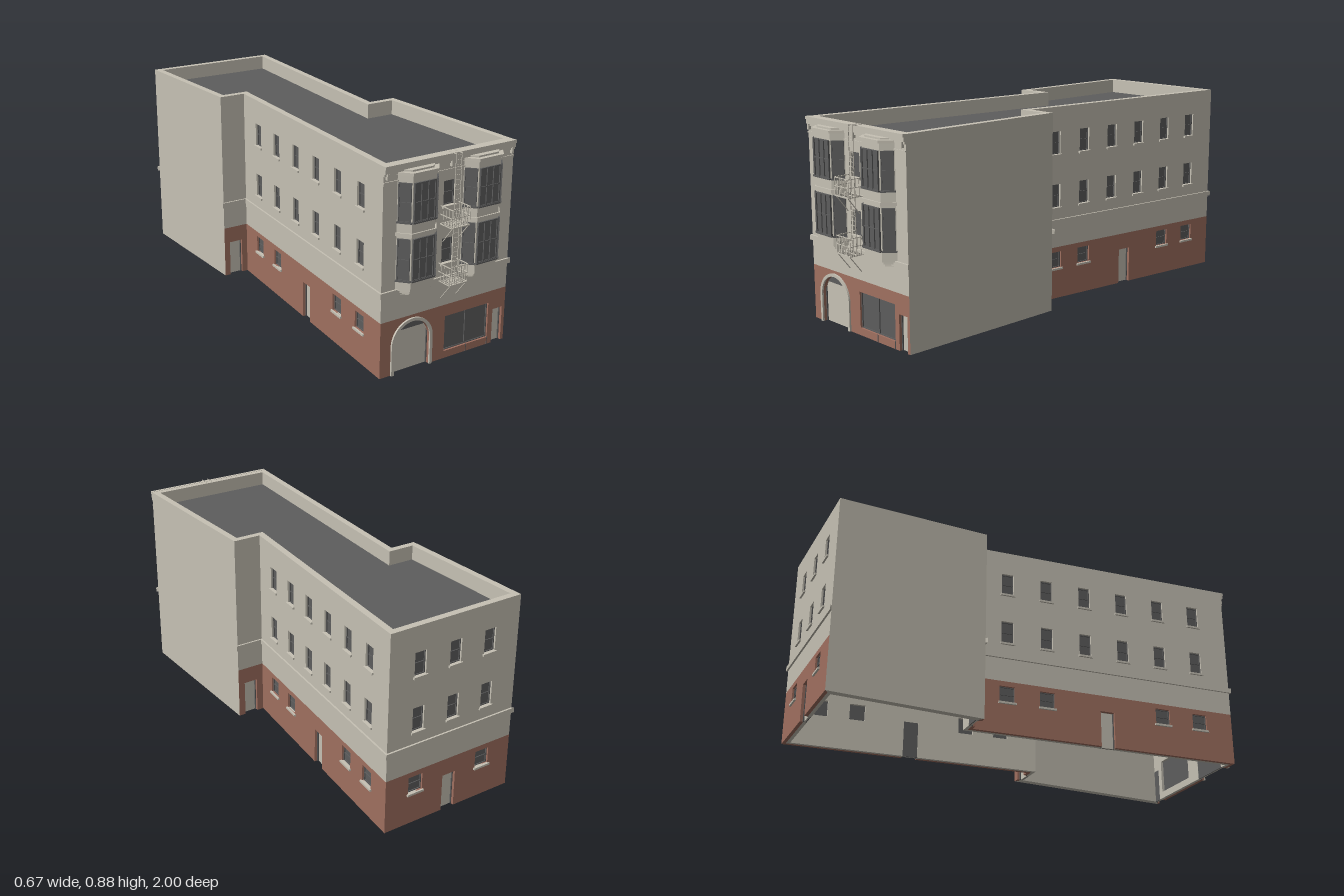
import * as THREE from 'three';

const paint = (name, hex) => {
  const m = new THREE.MeshStandardMaterial({ color: hex });
  m.name = name;
  return m;
};

export function createModel() {
  const stucco = paint('stucco', 0xc6c1b4);
  const brick = paint('brick', 0xa07060);
  const dark = paint('darkGrey', 0x5d5d5d);
  const model = new THREE.Group();
  model.name = 'building';

  const H = 0.88, BRICK = 0.24, T = 0.03, ROOF = 0.815;

  const add = (parent, name, geo, mat) => {
    const m = new THREE.Mesh(geo, mat);
    m.name = name;
    parent.add(m);
    return m;
  };
  // Box given by its two opposite corners
  const box = (parent, name, mat, x0, x1, y0, y1, z0, z1) => {
    const g = new THREE.BoxGeometry(x1 - x0, y1 - y0, z1 - z0);
    g.translate((x0 + x1) / 2, (y0 + y1) / 2, (z0 + z1) / 2);
    return add(parent, name, g, mat);
  };
  // Square bar between two points
  const rod = (parent, name, mat, a, b, t = 0.003) => {
    const p = new THREE.Vector3(...a), d = new THREE.Vector3(...b).sub(p);
    const m = add(parent, name, new THREE.BoxGeometry(t, d.length(), t), mat);
    m.position.copy(p).addScaledVector(d, 0.5);
    m.quaternion.setFromUnitVectors(new THREE.Vector3(0, 1, 0), d.normalize());
  };
  // Group whose x runs from a to b in plan and whose +z points outwards
  const face = (parent, name, a, b) => {
    const g = new THREE.Group();
    g.name = name;
    g.position.set(a[0], 0, a[1]);
    g.rotation.y = Math.atan2(a[1] - b[1], b[0] - a[0]);
    parent.add(g);
    return g;
  };
  // Dark glass with border, mullions and rails
  const glazing = (g, x0, x1, y0, y1, z, cols, rows, t = 0.004) => {
    box(g, 'glass', dark, x0, x1, y0, y1, z - 0.004, z);
    for (let i = 0; i <= cols; i++) {
      const x = x0 + t / 2 + (x1 - x0 - t) * i / cols;
      box(g, 'mullion', dark, x - t / 2, x + t / 2, y0, y1, z, z + 0.005);
    }
    for (let i = 0; i <= rows; i++) {
      const y = y0 + t / 2 + (y1 - y0 - t) * i / rows;
      box(g, 'rail', dark, x0, x1, y - t / 2, y + t / 2, z, z + 0.004);
    }
  };

  // Footprint, walked so that the outside is on the right
  const plan = [[-0.325, 0.925], [0.325, 0.925], [0.325, 0.13], [0.195, 0.13],
    [0.322, -0.99], [-0.322, -0.99], [-0.322, -0.315], [-0.2, -0.315]];
  const n = plan.length;
  const dir = plan.map((a, i) => {
    const b = plan[(i + 1) % n];
    return new THREE.Vector2(b[0] - a[0], a[1] - b[1]);
  });
  const mitre = plan.map((_, i) => {
    const p = dir[(i + n - 1) % n], q = dir[i];
    return Math.tan(Math.atan2(p.cross(q), p.dot(q)) / 2);
  });

  // Wall slab with door notches and window holes; its ends are mitred
  const slab = (g, name, mat, i, y0, y1, z0, z1, openings = []) => {
    const L = dir[i].length(), s = new THREE.Shape();
    s.moveTo(0, y0);
    openings.filter(o => o.door).sort((a, b) => a.x0 - b.x0).forEach(o => {
      s.lineTo(o.x0, y0);
      if (o.arch) {
        const r = (o.x1 - o.x0) / 2;
        s.lineTo(o.x0, o.y1 - r);
        s.absarc(o.x0 + r, o.y1 - r, r, Math.PI, 0, true);
      } else s.lineTo(o.x0, o.y1).lineTo(o.x1, o.y1);
      s.lineTo(o.x1, y0);
    });
    s.lineTo(L, y0).lineTo(L, y1).lineTo(0, y1);
    openings.filter(o => !o.door).forEach(o => s.holes.push(new THREE.Path([
      [o.x0, o.y0], [o.x0, o.y1], [o.x1, o.y1], [o.x1, o.y0]].map(p => new THREE.Vector2(...p)))));
    const geo = new THREE.ExtrudeGeometry(s, { depth: z1 - z0, bevelEnabled: false, curveSegments: 20 });
    geo.translate(0, 0, z0);
    const p = geo.attributes.position;
    for (let k = 0; k < p.count; k++) {
      const x = p.getX(k), z = p.getZ(k);
      if (Math.abs(x) < 1e-5) p.setX(k, -z * mitre[i]);
      else if (Math.abs(x - L) < 1e-5) p.setX(k, L + z * mitre[(i + 1) % n]);
    }
    geo.computeVertexNormals();
    return add(g, name, geo, mat);
  };

  const opening = (c, w, y0, y1, extra) => ({ x0: c - w / 2, x1: c + w / 2, y0, y1, ...extra });
  const upperRows = [[0.425, 0.53], [0.667, 0.769]];
  const names = ['frontWall', 'leftBlankWall', 'leftStepWall', 'leftSlantedWall',
    'backWall', 'rightBlankWall', 'rightStepWall', 'rightSlantedWall'];
  const walls = names.map((name, i) => {
    const g = face(model, name, plan[i], plan[(i + 1) % n]);
    const L = dir[i].length(), blank = i === 1 || i === 5;
    const low = [], high = [];
    if (i === 0) {
      low.push(opening(0.155, 0.18, 0, 0.215, { door: true, arch: true }),
        opening(0.609, 0.052, 0, 0.153, { door: true }), opening(0.4415, 0.233, 0.032, 0.188));
      upperRows.forEach(r => high.push(opening(0.323, 0.058, ...r)));
    } else if (!blank) {
      low.push(opening(L / 2, 0.066, 0, 0.165, { door: true }));
      const cols = i === 4 ? [0.23, 0.5, 0.77] : i === 2 || i === 6 ? []
        : [0, 1, 2, 3, 4, 5].map(k => 0.123 + 0.149 * k);
      cols.forEach((f, k) => {
        upperRows.forEach(r => high.push(opening(f * L, 0.056, ...r)));
        const small = cols.length === 6 ? k < 2 || k > 3 : k !== 1;
        if (small) low.push(opening(f * L, 0.07, 0.143, 0.217));
      });
    }
    slab(g, 'groundFloorFacing', blank ? stucco : brick, i, 0, BRICK, -T / 2, 0, low);
    slab(g, 'groundFloorLining', stucco, i, 0, BRICK, -T, -T / 2, low);
    slab(g, 'upperWall', stucco, i, BRICK, H, -T, 0, high);
    if (!blank) slab(g, 'beltCourse', stucco, i, 0.348, 0.37, 0, 0.008);
    // Windows with sills, and recessed doors
    [...low, ...high].forEach(o => {
      if (o.door) {
        box(g, 'door', stucco, o.x0, o.x1, 0, o.arch ? 0.177 : o.y1, -0.025, -0.018);
        box(g, 'doorBack', dark, o.x0, o.x1, 0, o.y1, -0.029, -0.025);
        [o.x0, o.x1 - 0.004].forEach(x => box(g, 'doorJamb', dark, x, x + 0.004, 0, Math.min(o.y1, 0.165), -0.018, -0.012));
        return;
      }
      const shop = o.x1 - o.x0 > 0.1;
      glazing(g, o.x0, o.x1, o.y0, o.y1, -0.013, shop ? 2 : 1, shop ? 1 : 2);
      if (!shop) box(g, 'sill', stucco, o.x0 - 0.006, o.x1 + 0.006, o.y0 - 0.009, o.y0, -0.01, 0.008);
    });
    return g;
  });

  // Roof, set below the parapet
  const inner = plan.map((a, i) => {
    const u = dir[i].clone().normalize(), m = T * mitre[i];
    return new THREE.Vector2(a[0] + u.x * m - u.y * T, -a[1] + u.y * m + u.x * T);
  });
  const roofGeo = new THREE.ExtrudeGeometry(new THREE.Shape(inner), { depth: 0.01, bevelEnabled: false });
  roofGeo.rotateX(-Math.PI / 2).translate(0, ROOF - 0.01, 0);
  add(model, 'roof', roofGeo, dark);

  // Front trim: arch surround, lunette, shop mullions and cornice
  const front = walls[0];
  const ring = new THREE.Shape().moveTo(0.052, 0).lineTo(0.052, 0.125);
  ring.absarc(0.155, 0.125, 0.103, Math.PI, 0, true);
  ring.lineTo(0.258, 0).lineTo(0.245, 0).lineTo(0.245, 0.125);
  ring.absarc(0.155, 0.125, 0.09, 0, Math.PI, false);
  ring.lineTo(0.065, 0);
  add(front, 'archSurround', new THREE.ExtrudeGeometry(ring, { depth: 0.008, bevelEnabled: false, curveSegments: 20 }), stucco);
  box(front, 'lunette', dark, 0.07, 0.24, 0.177, 0.217, -0.025, -0.016);
  [0.44, 0.555].forEach(x => box(front, 'shopPost', dark, x, x + 0.003, 0, 0.034, 0, 0.002));
  [[0.811, 0.816, 0.004], [0.84, 0.85, 0.006], [0.85, 0.868, 0.011], [0.868, 0.881, 0.015]]
    .forEach(([a, b, d]) => box(front, 'cornice', stucco, 0, 0.65, a, b, 0, d));
  [0.015, 0.325, 0.635].forEach(x => box(front, 'corniceBracket', stucco, x - 0.005, x + 0.005, 0.826, 0.85, 0, 0.013));

  // Two-storey bay windows
  [-0.163, 0.162].forEach(cx => {
    const bay = new THREE.Group();
    bay.name = 'bayWindow';
    bay.position.set(cx, 0, 0.925);
    model.add(bay);
    const W = 0.095, F = 0.056, D = 0.045;
    const layer = (name, y0, y1, e) => {
      const s = new THREE.Shape([[-W - e, 0], [-F - e / 2, -D - e], [F + e / 2, -D - e], [W + e, 0]]
        .map(p => new THREE.Vector2(...p)));
      const g = new THREE.ExtrudeGeometry(s, { depth: y1 - y0, bevelEnabled: false });
      add(bay, name, g.rotateX(-Math.PI / 2).translate(0, y0, 0), stucco);
    };
    layer('bayBody', 0.365, 0.84, 0);
    layer('bayFoot', 0.354, 0.365, -0.008);
    layer('bayFootStep', 0.343, 0.354, -0.022);
    layer('bayBand', 0.592, 0.606, 0.006);
    layer('bayCap', 0.838, 0.849, 0.009);
    layer('bayCapTop', 0.849, 0.856, -0.01);
    const pts = [[-W, 0], [-F, D], [F, D], [W, 0]];
    for (let k = 0; k < 3; k++) {
      const g = face(bay, 'bayFacet', pts[k], pts[k + 1]);
      const L = Math.hypot(pts[k + 1][0] - pts[k][0], pts[k + 1][1] - pts[k][1]);
      [[0.41, 0.583], [0.65, 0.808]].forEach(([a, b]) => {
        glazing(g, 0.004, L - 0.004, a, b, 0.003, k === 1 ? 3 : 1, 2, 0.005);
        box(g, 'baySill', dark, 0, L, a - 0.004, a + 0.002, 0, 0.01);
      });
    }
  });

  // Fire escape: balconies, struts and ladders
  const escape = new THREE.Group();
  escape.name = 'fireEscape';
  model.add(escape);
  const X = 0.045, Z0 = 0.927, Z1 = 0.997;
  [0.357, 0.597].forEach(y => {
    for (let k = 0; k <= 8; k++) {
      const x = -X + 2 * X * k / 8;
      rod(escape, 'floorSlat', stucco, [x, y, Z0], [x, y, Z1]);
      rod(escape, 'baluster', stucco, [x, y, Z1], [x, y + 0.075, Z1], 0.002);
    }
    [Z0 + 0.002, (Z0 + Z1) / 2, Z1].forEach(z => rod(escape, 'floorBeam', stucco, [-X, y, z], [X, y, z], 0.005));
    [0.04, 0.075].forEach(h => rod(escape, 'frontRail', stucco, [-X, y + h, Z1], [X, y + h, Z1]));
    [-X, X].forEach(x => {
      [0.04, 0.075].forEach(h => rod(escape, 'sideRail', stucco, [x, y + h, Z0], [x, y + h, Z1]));
      [0.25, 0.5, 0.75].forEach(f => {
        const z = Z0 + (Z1 - Z0) * f;
        rod(escape, 'sideBaluster', stucco, [x, y, z], [x, y + 0.075, z], 0.002);
      });
    });
    [-0.04, 0.04].forEach(x => rod(escape, 'strut', stucco, [x, y, Z1], [x, y - 0.072, 0.94]));
  });
  [[0.36, 0.597], [0.6, 0.882]].forEach(([a, b]) => {
    [0.0, 0.029].forEach(x => rod(escape, 'ladderRail', stucco, [x, a, 0.955], [x, b, 0.955]));
    for (let y = a + 0.015; y < b; y += 0.02) rod(escape, 'rung', stucco, [0, y, 0.955], [0.029, y, 0.955], 0.002);
  });
  [0, 0.029].forEach(x => rod(escape, 'ladderHook', stucco, [x, 0.881, 0.955], [x, 0.881, 0.91]));

  return model;
}
